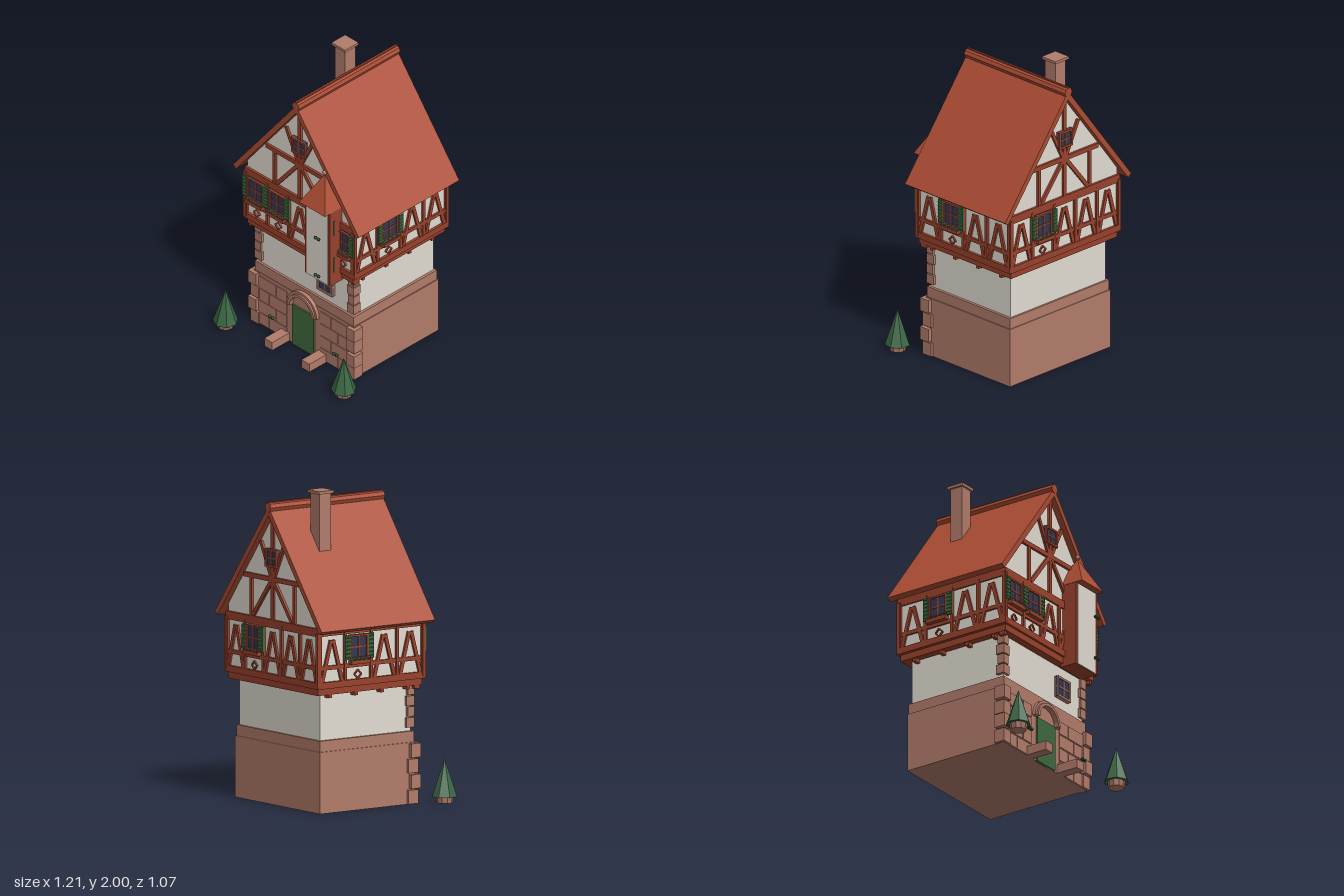
import * as THREE from 'three';

const mat = (name, color) => new THREE.MeshStandardMaterial({ name, color });

export function createModel() {
  const root = new THREE.Group();
  root.name = 'timberHouse';
  const plaster = mat('plaster', 0xe2ddd2), timber = mat('timber', 0x9a422c);
  const roofRed = mat('roofTile', 0xab4c33), stone = mat('stone', 0xb27c6a);
  const green = mat('paintedGreen', 0x40693f), foliage = mat('foliage', 0x3b6644);
  const glass = mat('glass', 0x323850), red = mat('flowerRed', 0xa83a30);
  const ZC = -0.0875; // centre of the house in z

  const add = (parent, name, geo, m, x = 0, y = 0, z = 0) => {
    const mesh = new THREE.Mesh(geo, m);
    mesh.name = name;
    mesh.position.set(x, y, z);
    parent.add(mesh);
    return mesh;
  };
  const box = (p, name, m, w, h, d, x, y, z) => add(p, name, new THREE.BoxGeometry(w, h, d), m, x, y, z);
  // box given by its bounds
  const span = (p, name, m, x0, x1, y0, y1, z0, z1) =>
    box(p, name, m, x1 - x0, y1 - y0, z1 - z0, (x0 + x1) / 2, (y0 + y1) / 2, (z0 + z1) / 2);
  const faceted = (geo) => {
    const g = geo.toNonIndexed();
    g.computeVertexNormals();
    return g;
  };
  const extrude = (pts, depth) => new THREE.ExtrudeGeometry(
    new THREE.Shape(pts.map(([x, y]) => new THREE.Vector2(x, y))), { depth, bevelEnabled: false });
  // timber lying in a wall plane between two points
  const beam = (p, name, x0, y0, x1, y1, w, z, d = 0.02) => {
    const b = box(p, name, timber, w, Math.hypot(x1 - x0, y1 - y0), d, (x0 + x1) / 2, (y0 + y1) / 2, z);
    b.rotation.z = -Math.atan2(x1 - x0, y1 - y0);
  };
  const ball = (p, name, m, r, x, y, z) => add(p, name, faceted(new THREE.IcosahedronGeometry(r, 0)), m, x, y, z);

  // ---- stone base and plain plaster storey
  span(root, 'stoneBase', stone, -0.445, 0.445, 0, 0.39, -0.458, 0.283);
  span(root, 'stoneBaseCap', stone, -0.438, 0.438, 0.39, 0.46, -0.453, 0.28);
  span(root, 'lowerWall', plaster, -0.42, 0.42, 0.46, 0.76, -0.44, 0.265);

  // shallow stone courses beside the door
  for (const s of [-1, 1]) for (let r = 0; r < 4; r++) {
    const split = r % 2 ? 0.24 : 0.3;
    for (const [a, b] of [[0.15, split], [split + 0.006, 0.4]])
      box(root, 'stoneCourse', stone, b - a, 0.084, 0.006, s * (a + b) / 2, 0.047 + r * 0.092, 0.285);
  }

  // corner stones on the front corners
  for (const s of [-1, 1]) {
    for (let i = 0; i < 4; i++) {
      const out = i % 2 ? 0.022 : 0.01;
      box(root, 'baseCornerStone', stone, 0.07, 0.088, 0.075, s * (0.415 + out), 0.046 + i * 0.098, 0.25 + out);
    }
    for (let i = 0; i < 4; i++) {
      const w = i % 2 ? 0.05 : 0.06;
      box(root, 'wallCornerStone', stone, w, 0.062, w, s * (0.44 - w / 2), 0.515 + i * 0.069, 0.282 - w / 2);
    }
  }

  // ---- arched doorway
  span(root, 'door', green, -0.095, 0.095, 0, 0.302, 0.27, 0.294);
  const archRing = (ro, ri, depth) => {
    const s = new THREE.Shape();
    s.absarc(0, 0, ro, 0, Math.PI, false);
    s.absarc(0, 0, ri, Math.PI, 0, true);
    return new THREE.ExtrudeGeometry(s, { depth, bevelEnabled: false, curveSegments: 14 });
  };
  add(root, 'archOuter', archRing(0.135, 0.118, 0.03), stone, 0, 0.302, 0.275);
  add(root, 'archInner', archRing(0.118, 0.098, 0.042), stone, 0, 0.302, 0.275);
  for (const s of [-1, 1]) span(root, 'doorStepBlock', stone, s * 0.165 - 0.035, s * 0.165 + 0.035, 0, 0.06, 0.27, 0.435);

  // glazed opening with frame and glazing bars
  const casement = (p, m, x, y, z, w, h, f) => {
    const g = new THREE.Group();
    g.name = 'window';
    g.position.set(x, y, z);
    p.add(g);
    box(g, 'glass', glass, w, h, 0.012, 0, 0, 0);
    for (const s of [-1, 1]) {
      box(g, 'frameSide', m, f, h, 0.03, s * (w - f) / 2, 0, 0);
      box(g, 'frameRail', m, w, f, 0.03, 0, s * (h - f) / 2, 0);
    }
    box(g, 'barUpright', m, 0.009, h, 0.02, 0, 0, 0);
    box(g, 'barCross', m, w, 0.009, 0.02, 0, 0, 0);
    return g;
  };
  casement(root, stone, 0.192, 0.602, 0.282, 0.135, 0.14, 0.014);

  // ---- half-timbered storey
  span(root, 'upperWall', plaster, -0.475, 0.475, 0.8, 1.18, ZC - 0.4025, ZC + 0.4025);
  box(root, 'jettyBeam', timber, 0.94, 0.045, 0.81, 0, 0.776, ZC);
  box(root, 'sillBeam', timber, 0.985, 0.042, 0.84, 0, 0.817, ZC);
  box(root, 'topBeam', timber, 0.97, 0.052, 0.832, 0, 1.154, ZC);
  for (const s of [-1, 1]) {
    for (let i = 0; i < 4; i++) box(root, 'joistEnd', timber, 0.045, 0.026, 0.024, s * 0.442, 0.744, ZC + (i - 1.5) * 0.203);
    box(root, 'frontJoistEnd', timber, 0.024, 0.026, 0.045, s * 0.455, 0.744, 0.285);
  }

  // shuttered window with flower box and diamond below
  const shutteredWindow = (p, x, z) => {
    casement(p, timber, x, 1.043, z + 0.008, 0.138, 0.155, 0.012);
    for (const s of [-1, 1]) {
      const sx = x + s * 0.09;
      box(p, 'shutter', green, 0.04, 0.155, 0.014, sx, 1.043, z + 0.018);
      for (let i = 0; i < 6; i++)
        box(p, 'shutterSlat', green, 0.03, 0.01, 0.012, sx, 0.98 + i * 0.025, z + 0.025).rotation.x = 0.5;
    }
    box(p, 'flowerBox', timber, 0.15, 0.024, 0.035, x, 0.948, z + 0.025);
    for (let i = 0; i < 8; i++) {
      const fx = x - 0.063 + i * 0.018;
      ball(p, 'boxLeaves', foliage, 0.013, fx, 0.963 + (i % 2) * 0.006, z + 0.028);
      if (i % 2) ball(p, 'flower', red, 0.009, fx + 0.006, 0.974, z + 0.036);
    }
    const d = 0.027, c = 0.868;
    for (const s of [-1, 1]) for (const t of [-1, 1])
      beam(p, 'diamondTimber', x + s * d, c, x, c + t * d, 0.009, z + 0.003, 0.014);
  };

  // one timbered wall; windows lists the cells holding a window, the rest get braces
  const timberWall = (name, angle, dist, cells, step, windows) => {
    const g = new THREE.Group();
    g.name = name;
    g.position.z = ZC;
    g.rotation.y = angle;
    root.add(g);
    const half = cells * step / 2;
    box(g, 'midRail', timber, half * 2, 0.026, 0.02, 0, 0.927, dist + 0.003);
    for (let i = 0; i <= cells; i++) {
      const end = i === 0 || i === cells;
      box(g, 'post', timber, end ? 0.032 : 0.022, 0.34, 0.022, -half + i * step, 0.98, dist + 0.004);
    }
    for (let i = 0; i < cells; i++) {
      const x = -half + (i + 0.5) * step;
      if (windows.includes(i)) shutteredWindow(g, x, dist);
      else {
        for (const s of [-1, 1]) beam(g, 'brace', x + s * 0.078, 0.835, x + s * 0.008, 1.1, 0.024, dist + 0.003);
      }
    }
    return g;
  };
  const front = timberWall('frontWall', 0, 0.4025, 5, 0.191, [0, 1, 4]);
  const back = timberWall('backWall', Math.PI, 0.4025, 5, 0.191, [1]);
  timberWall('leftWall', Math.PI / 2, 0.475, 4, 0.203, [1]);
  timberWall('rightWall', -Math.PI / 2, 0.475, 4, 0.203, [1]);

  // ---- gables
  add(root, 'gableWall', extrude([[-0.475, 1.17], [0.475, 1.17], [0.475, 1.222], [0, 1.85], [-0.475, 1.222]], 0.8),
    plaster, 0, 0, ZC - 0.4);
  for (const g of [front, back]) {
    const z = 0.404;
    beam(g, 'kingPost', 0, 1.18, 0, 1.86, 0.028, z);
    beam(g, 'collarBeam', -0.295, 1.435, 0.295, 1.435, 0.03, z + 0.002);
    for (const s of [-1, 1]) {
      beam(g, 'gablePost', s * 0.225, 1.18, s * 0.225, 1.43, 0.024, z);
      beam(g, 'lowerBrace', s * 0.205, 1.185, 0, 1.44, 0.026, z + 0.001);
      beam(g, 'upperBrace', 0, 1.42, s * 0.122, 1.665, 0.024, z + 0.001);
    }
    casement(g, timber, 0, 1.57, z + 0.008, 0.12, 0.115, 0.014);
  }

  // ---- roof
  add(root, 'roof', extrude([[-0.56, 1.17], [-0.532, 1.15], [0, 1.842], [0.532, 1.15], [0.56, 1.17], [0, 1.9]], 0.885),
    roofRed, 0, 0, ZC - 0.4425);
  const ridge = new THREE.CylinderGeometry(0.032, 0.032, 0.892, 8).rotateX(Math.PI / 2);
  add(root, 'ridgeCap', faceted(ridge), roofRed, 0, 1.893, ZC);
  box(root, 'ridgeCrest', timber, 0.014, 0.02, 0.89, 0, 1.919, ZC);

  // ---- chimney
  span(root, 'chimney', stone, -0.215, -0.125, 1.6, 1.985, -0.292, -0.202);
  span(root, 'chimneyCap', stone, -0.23, -0.11, 1.982, 2, -0.307, -0.187);

  // ---- oriel turret
  const oriel = new THREE.Group();
  oriel.name = 'oriel';
  oriel.position.x = 0.255;
  root.add(oriel);
  span(oriel, 'orielFrame', timber, -0.112, 0.112, 0.73, 1.295, 0.3, 0.418);
  span(oriel, 'orielPanel', plaster, -0.094, 0.094, 0.733, 1.285, 0.415, 0.422);
  const spire = new THREE.ConeGeometry(0.115 * Math.SQRT2, 0.215, 4).rotateY(Math.PI / 4);
  add(oriel, 'orielRoof', faceted(spire), roofRed, 0, 1.397, 0.352);
  add(oriel, 'finial', new THREE.SphereGeometry(0.016, 10, 8), stone, 0, 1.517, 0.352);
  for (const y of [0.88, 1.16]) box(oriel, 'sideStrip', green, 0.006, 0.11, 0.008, 0.113, y, 0.383);

  // small paired leaf tufts in front of the walls
  for (const [x, y, z] of [[0.3, 1.09, 0.467], [0.3, 0.806, 0.467], [-0.235, 0.155, 0.34], [0.335, 0.155, 0.34]])
    for (const s of [-1, 1]) ball(root, 'leafTuft', foliage, 0.013, x + s * 0.014, y, z);

  // ---- potted trees
  for (const s of [-1, 1]) {
    const tree = new THREE.Group();
    tree.name = 'pottedTree';
    tree.position.set(s * 0.525, 0, 0.455);
    root.add(tree);
    add(tree, 'pot', faceted(new THREE.CylinderGeometry(0.058, 0.05, 0.045, 10)), stone, 0, 0.0225, 0);
    add(tree, 'treeCone', faceted(new THREE.ConeGeometry(0.081, 0.24, 7)), foliage, 0, 0.16, 0);
  }
  return root;
}
